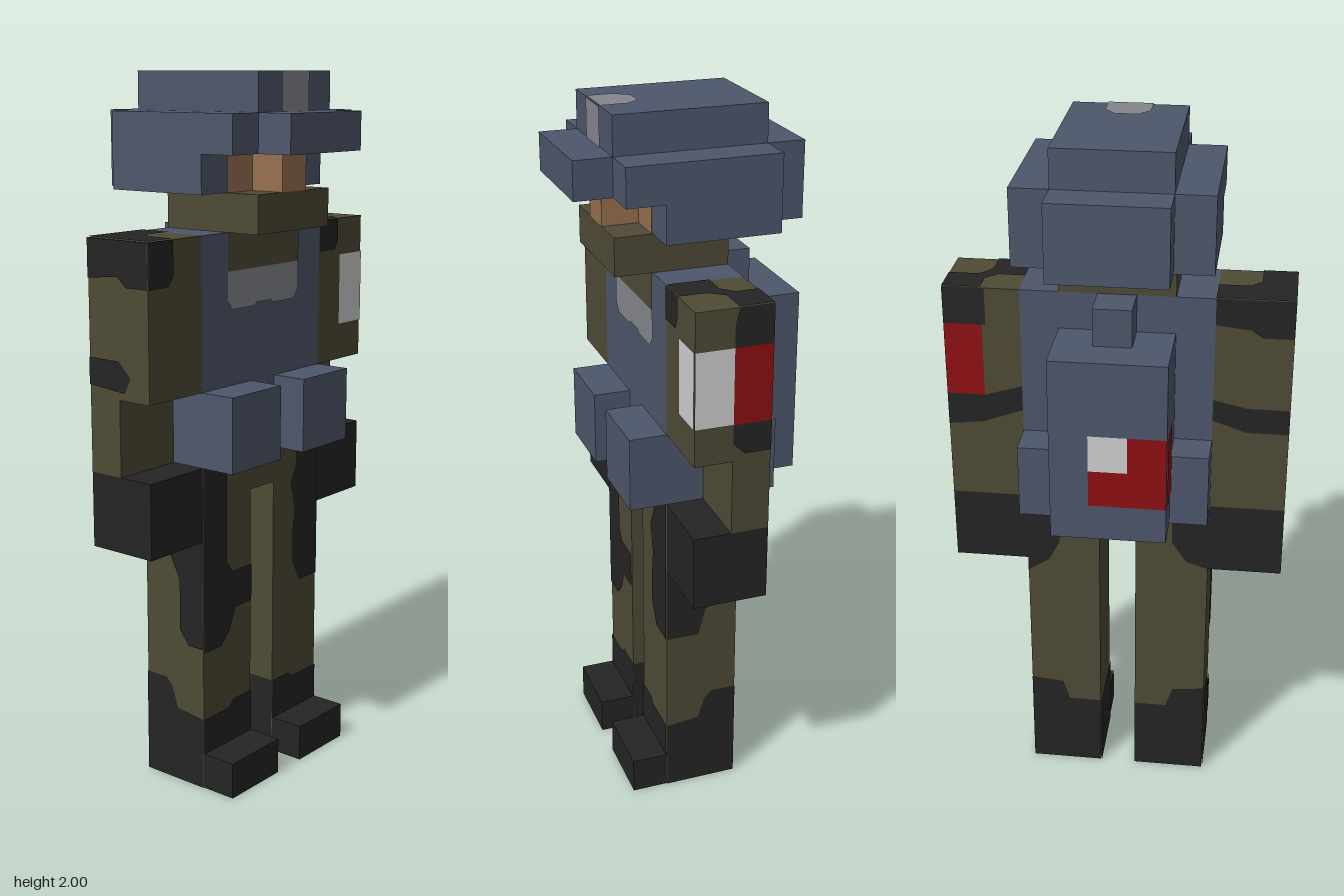
import * as THREE from 'three';

const U = 2 / 19; // one block of the build grid
const LIFT = 0.003; // painted patches sit just above their face

const mat = (name, color) => {
  const m = new THREE.MeshStandardMaterial({ color });
  m.name = name;
  return m;
};

export function createModel() {
  const model = new THREE.Group();
  model.name = 'soldier';

  const blue = mat('slateBlue', 0x4d566a);
  const olive = mat('olive', 0x4e4a35);
  const black = mat('black', 0x242424);
  const white = mat('white', 0xcfcfcf);
  const red = mat('red', 0x8e0f11);
  const skin = mat('skin', 0x967050);
  const grey = mat('grey', 0x85878c);

  // Box given by its limits in grid units: x0, x1, y0, y1, z0, z1
  const box = (name, material, x0, x1, y0, y1, z0, z1) => {
    const g = new THREE.BoxGeometry((x1 - x0) * U, (y1 - y0) * U, (z1 - z0) * U);
    const m = new THREE.Mesh(g, material);
    m.position.set((x0 + x1) / 2 * U, (y0 + y1) / 2 * U, (z0 + z1) / 2 * U);
    m.name = name;
    model.add(m);
  };
  // Same box on both sides of the body
  const pair = (name, material, x0, x1, ...rest) => {
    box(name + 'Left', material, x0, x1, ...rest);
    box(name + 'Right', material, -x1, -x0, ...rest);
  };

  // Flat painted patch; points are (x,y), (z,y) or (x,z) in grid units
  const faces = {
    front: { map: (a, b) => [a, b], rot: [0, 0, 0], n: [0, 0, 1] },
    back: { map: (a, b) => [-a, b], rot: [0, Math.PI, 0], n: [0, 0, -1] },
    left: { map: (a, b) => [-a, b], rot: [0, Math.PI / 2, 0], n: [1, 0, 0] },
    right: { map: (a, b) => [a, b], rot: [0, -Math.PI / 2, 0], n: [-1, 0, 0] },
    top: { map: (a, b) => [a, -b], rot: [-Math.PI / 2, 0, 0], n: [0, 1, 0] },
  };
  const patch = (name, material, face, at, pts) => {
    const f = faces[face];
    const shape = new THREE.Shape(pts.map(([a, b]) => {
      const [p, q] = f.map(a, b);
      return new THREE.Vector2(p * U, q * U);
    }));
    const m = new THREE.Mesh(new THREE.ShapeGeometry(shape), material);
    m.rotation.set(...f.rot);
    m.position.set(...f.n).multiplyScalar(at * U + LIFT);
    m.name = name;
    model.add(m);
  };
  const rect = (a0, a1, b0, b1) => [[a0, b0], [a1, b0], [a1, b1], [a0, b1]];

  // Legs and shoes
  pair('leg', olive, 0.5, 2.5, 0, 9, -1, 1);
  pair('shoe', black, 0.5, 2.5, 0, 1, 1, 2);
  box('hipFront', olive, -0.5, 0.5, 8, 9, 0, 1);
  box('hipBack', blue, -0.5, 0.5, 8, 9, -1, 0);

  // Leg camouflage and boots
  patch('rightThighCamo', black, 'front', 1, [[-2.5, 9], [-1.55, 9], [-1.55, 6.2], [-1.3, 5.9],
    [-0.5, 5.9], [-0.5, 4.85], [-1.2, 4.85], [-1.4, 4.3], [-1.8, 3.9], [-2.5, 3.9]]);
  patch('leftThighCamo', black, 'front', 1, [[1.5, 9], [2.5, 9], [2.5, 4.85], [1.7, 4.85],
    [1.35, 5.5], [1.35, 6.4], [1.45, 7], [1.25, 7.8], [1.5, 8.3]]);
  patch('leftThighSideCamo', black, 'left', 2.5, [[1, 9], [1, 4.85], [0.1, 4.85], [-0.1, 5.6],
    [-0.4, 5.85], [-1, 5.85], [-1, 9]]);
  patch('rightThighSideCamo', black, 'right', 2.5, [[1, 9], [1, 4], [0.5, 4], [0.2, 4.4],
    [0.2, 5.8], [-0.1, 6.4], [-1, 7.2], [-1, 9]]);
  patch('leftThighBackCamo', black, 'back', -0 + 1, [[2.5, 9], [1.6, 9], [1.6, 7.6], [1.9, 7], [2.5, 6.6]]);
  patch('rightThighBackCamo', black, 'back', 1, [[-2.5, 9], [-1.5, 9], [-1.5, 7.8], [-1.9, 7.2], [-2.5, 7]]);
  for (const s of [1, -1]) {
    patch('bootFront', black, 'front', 1, s > 0
      ? [[0.5, 0], [2.5, 0], [2.5, 2], [1.4, 2], [1.2, 2.15], [0.5, 2.15]]
      : [[-2.5, 0], [-0.5, 0], [-0.5, 2.2], [-1.3, 2.2], [-1.5, 2], [-2.5, 2]]);
    patch('bootBack', black, 'back', 1, [[s * 0.5, 0], [s * 2.5, 0], [s * 2.5, 2.9],
      [s * 1.6, 2.8], [s * 1.4, 2.2], [s * 0.5, 2.2]]);
    const side = [[1, 0], [1, 2], [0.1, 2.1], [-0.1, 2.7], [-0.3, 2.9], [-1, 2.9], [-1, 0]];
    patch('bootOuter', black, s > 0 ? 'left' : 'right', 2.5, side);
    patch('bootInner', black, s > 0 ? 'right' : 'left', -0.5, rect(-1, 1, 0, 2.15));
  }

  // Vest, belt pouches and collar paint
  box('vest', blue, -2.5, 2.5, 9, 15, -1, 1);
  pair('beltPouch', blue, 0.5, 2.5, 9, 11, 1, 2);
  patch('collar', olive, 'front', 1, rect(-1.5, 1.5, 14, 15));
  patch('chestPanel', grey, 'front', 1, [[-1.5, 14], [-1.5, 13.25], [-1.3, 13], [-0.4, 13],
    [-0.3, 13.08], [0.3, 13.08], [0.4, 13], [1.3, 13], [1.5, 13.25], [1.5, 14]]);

  // Arms
  pair('upperArm', olive, 2.5, 4.5, 11, 15, -1, 1);
  pair('forearm', olive, 2.5, 4.5, 9, 11, -1, 0);
  pair('hand', black, 2.5, 4.5, 7, 9, -1, 1);

  // Shoulder and sleeve camouflage
  patch('rightShoulderTop', black, 'top', 15, [[-4.5, -1], [-2.5, -1], [-2.5, -0.1],
    [-3.3, -0.1], [-3.6, 0.2], [-3.6, 1], [-4.5, 1]]);
  patch('leftShoulderTopBack', black, 'top', 15, [[3.5, -1], [4.5, -1], [4.5, -0.1], [3.2, -0.1], [3.5, -0.4]]);
  patch('leftShoulderTopFront', black, 'top', 15, [[2.5, -0.1], [3.7, -0.1], [3.4, 0.3], [3.4, 1], [2.5, 1]]);
  patch('leftShoulderFront', black, 'front', 1, [[2.5, 15], [2.5, 14.15], [3.2, 14.15], [3.35, 14.4], [3.35, 15]]);
  patch('rightShoulderFront', black, 'front', 1, [[-4.5, 15], [-4.5, 13.85], [-3.8, 13.85], [-3.6, 14.1], [-3.6, 15]]);
  patch('leftShoulderSide', black, 'left', 4.5, [[-1, 15], [-1, 14], [0, 14], [0, 14.6], [-0.1, 15]]);
  patch('leftSleeveSide', black, 'left', 4.5, [[-1, 12], [-1, 11.2], [-0.3, 11.2], [0, 11.5], [0, 12]]);
  patch('leftShoulderBack', black, 'back', 1, rect(3.4, 4.5, 14, 15));
  patch('leftSleeveBack', black, 'back', 1, [[4.5, 12], [4.5, 11.1], [3.6, 11.2], [2.5, 11.6], [2.5, 12.3], [3.5, 12]]);
  patch('rightShoulderBack', black, 'back', 1, [[-2.5, 15], [-2.5, 14.3], [-3.4, 14.2], [-3.7, 14], [-4.5, 14], [-4.5, 15]]);
  patch('rightSleeveBack', black, 'back', 1, [[-2.5, 12.2], [-2.5, 11.6], [-3.4, 11.3], [-4.5, 11.3], [-4.5, 12], [-3.4, 12]]);
  patch('rightShoulderSide', black, 'right', 4.5, [[-1, 15], [-1, 14], [0, 14.1], [0.3, 13.85], [1, 13.85], [1, 15]]);
  patch('rightSleeveSide', black, 'right', 4.5, [[-1, 12], [-1, 11.3], [0.2, 11.2], [0.4, 11.6], [0, 12]]);

  // Armband on the left sleeve
  patch('armbandWhiteFront', white, 'front', 1, rect(3.45, 4.5, 12, 14));
  patch('armbandWhiteSide', white, 'left', 4.5, rect(0, 1, 12, 14));
  patch('armbandRedSide', red, 'left', 4.5, rect(-1, 0, 12, 14));
  patch('armbandRedBack', red, 'back', 1, rect(3.5, 4.5, 12, 14));

  // Backpack with side pockets and a top loop
  box('backpack', blue, -1.5, 1.5, 9, 14, -3, -1);
  box('backpackLoop', blue, -0.5, 0.5, 14, 15, -2, -1);
  pair('backpackPocket', blue, 1.5, 2.5, 9, 11, -2, -1);
  patch('packBadgeBack', red, 'back', 3, [[0.5, 10], [-1.5, 10], [-1.5, 12], [-0.5, 12], [-0.5, 11], [0.5, 11]]);
  patch('packBadgeSide', red, 'right', 1.5, rect(-3, -2, 10, 12));
  patch('packBadgeWhite', white, 'back', 3, rect(-0.5, 0.5, 11, 12));

  // Head: scarf, hood, recessed eyes and nose
  box('scarf', olive, -1.5, 1.5, 15, 16, -1, 2);
  box('hood', olive, -1.5, 1.5, 16, 17, -2, 1);
  patch('face', skin, 'front', 1, rect(-1.5, 1.5, 16, 17));
  box('nose', skin, -0.5, 0.5, 16, 17, 1, 2);

  // Helmet
  box('helmetCrown', blue, -1.5, 1.5, 17, 19, -2, 2);
  box('helmetBrim', blue, -1.5, 1.5, 17, 18, 2, 3);
  box('helmetBack', blue, -1.5, 1.5, 16, 18, -3, -2);
  pair('helmetSide', blue, 1.5, 2.5, 17, 18, -2, 2);
  pair('helmetEarGuard', blue, 1.5, 2.5, 16, 17, -2, 1);
  patch('helmetPlateFront', grey, 'front', 2, rect(-0.55, 0.55, 18, 19));
  patch('helmetPlateTop', grey, 'top', 19, [[-0.58, 2], [-0.58, 1.3], [-0.3, 0.95], [0.3, 0.95], [0.58, 1.3], [0.58, 2]]);

  return model;
}
